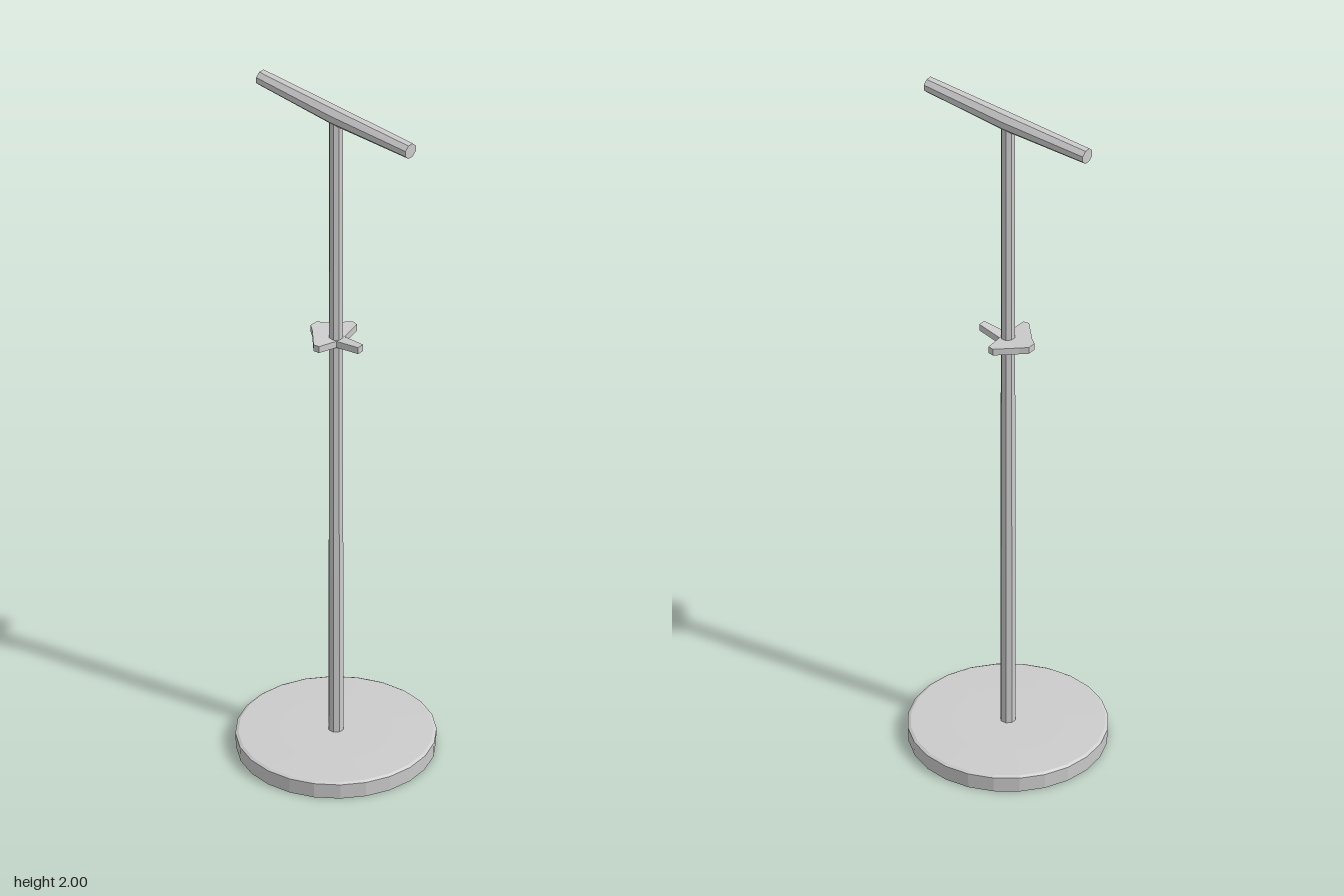
import * as THREE from 'three';

const material = new THREE.MeshStandardMaterial({ color: 0xcccccc, flatShading: true });

function part(name, geometry, y = 0) {
  const mesh = new THREE.Mesh(geometry, material);
  mesh.name = name;
  mesh.position.y = y;
  return mesh;
}

// Move every vertex of a geometry by a rule
function reshape(geometry, rule) {
  const pos = geometry.attributes.position;
  const v = new THREE.Vector3();
  for (let i = 0; i < pos.count; i++) {
    rule(v.fromBufferAttribute(pos, i));
    pos.setXYZ(i, v.x, v.y, v.z);
  }
  geometry.computeVertexNormals();
  return geometry;
}

export function createModel() {
  const group = new THREE.Group();
  group.name = 'stand';

  // Round foot with a slightly domed top
  const profile = [[0, 0], [0.264, 0], [0.266, 0.044], [0.258, 0.048], [0.15, 0.051], [0, 0.052]];
  group.add(part('base', new THREE.LatheGeometry(profile.map(([r, y]) => new THREE.Vector2(r, y)), 24)));

  // Upright pole
  const pole = new THREE.CylinderGeometry(0.019, 0.021, 1.915, 8);
  pole.rotateY(Math.PI / 8);
  group.add(part('pole', pole, 1.0));

  // Crossbar: flat along the top, its belly deepest in the middle
  const bar = new THREE.CylinderGeometry(0.0255, 0.0255, 0.535, 8, 2);
  bar.rotateY(Math.PI / 8);
  bar.rotateZ(Math.PI / 2);
  reshape(bar, (v) => {
    const t = Math.abs(v.x) / 0.2675;
    v.z *= 1 - 0.14 * t;
    v.y = 0.0255 + (v.y - 0.0255) * (1.06 - 0.2 * t);
  });
  group.add(part('crossbar', bar, 1.9745));

  // Hook plate: wide wedge on the right, two side prongs and a narrow left prong
  const half = [[0.088, 0.01], [0.016, 0.016], [0.007, 0.074], [-0.01, 0.077], [-0.06, 0.027], [-0.08, 0.012]];
  const outline = [...half, ...half.map(([x, z]) => [x, -z]).reverse()];
  const plate = new THREE.ExtrudeGeometry(
    new THREE.Shape(outline.map(([x, z]) => new THREE.Vector2(x, z))),
    { depth: 0.02, bevelEnabled: false });
  plate.rotateX(-Math.PI / 2);
  // Prongs rise toward their tips
  reshape(plate, (v) => { v.y += 0.13 * Math.hypot(v.x, v.z); });
  group.add(part('hookPlate', plate, 1.257));

  return group;
}
